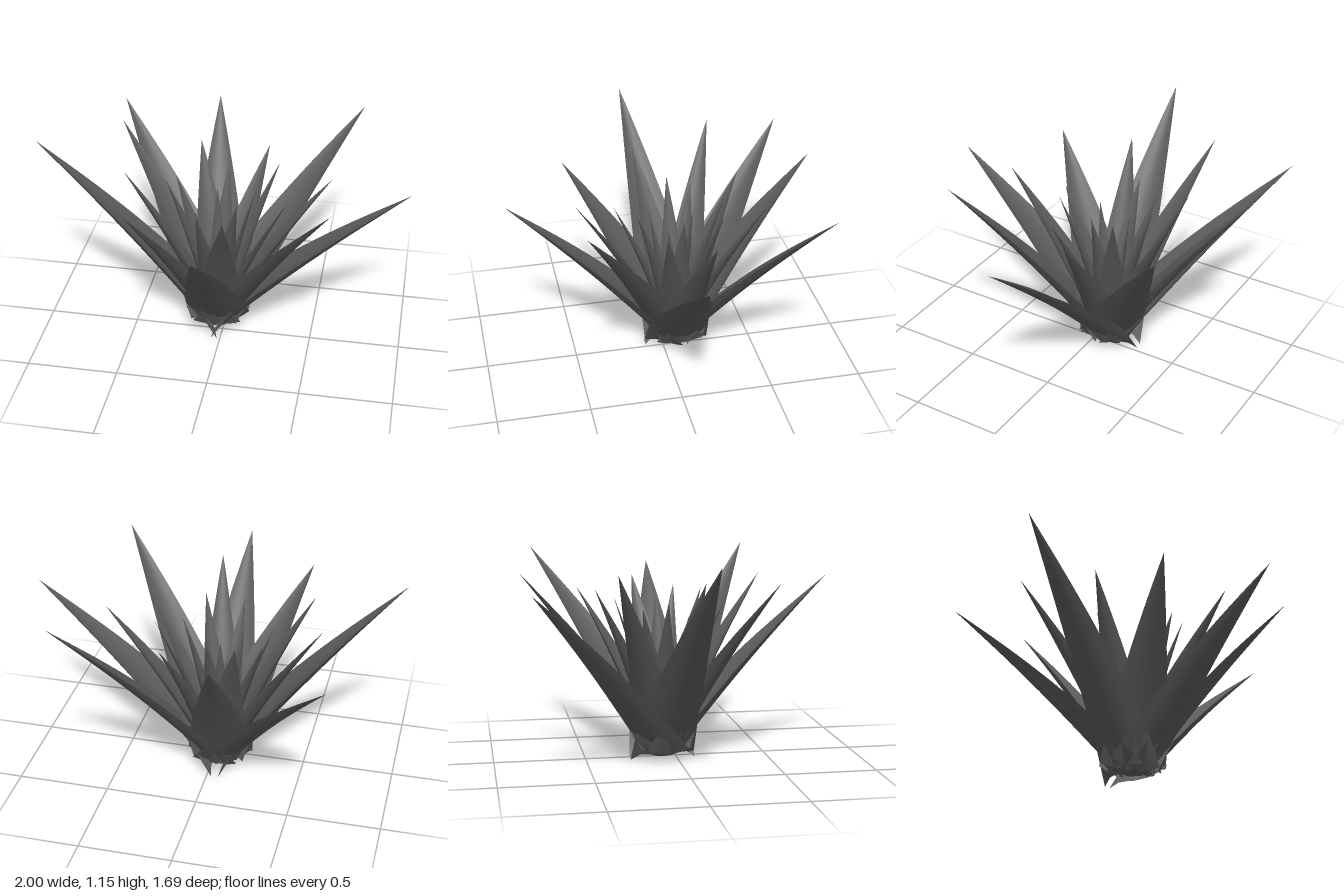
import * as THREE from 'three';

const CENTRE = new THREE.Vector3(-0.04, 0.08, -0.08);

// Long pointed leaf: a crescent cross-section tapering from base to tip.
// arch lifts the middle, droop pulls the base corners down.
function leafGeometry(base, tip, halfWidth, { arch = 0, droop = 0, rows = 14, cols = 8 } = {}) {
  const dir = tip.clone().sub(base);
  const side = new THREE.Vector3(dir.z, 0, -dir.x).normalize();
  const under = side.clone().cross(dir).normalize();
  const pos = [], index = [];
  for (const [depth, flip] of [[0.45, false], [0.28, true]]) {
    const start = pos.length / 3;
    for (let i = 0; i <= rows; i++) {
      const t = i / rows;
      const w = halfWidth * (1 - Math.pow(t, 1.3)) + 0.0005;
      for (let j = 0; j <= cols; j++) {
        const u = (j / cols) * 2 - 1;
        const p = base.clone().addScaledVector(dir, t)
          .addScaledVector(side, w * u)
          .addScaledVector(under, w * depth * (1 - u * u) - arch * Math.sin(Math.PI * t));
        p.y -= droop * u ** 4 * Math.max(0, 1 - t * 8);
        pos.push(p.x, p.y, p.z);
      }
    }
    for (let i = 0; i < rows; i++) {
      for (let j = 0; j < cols; j++) {
        const a = start + i * (cols + 1) + j, b = a + 1, c = a + cols + 1, d = c + 1;
        if (flip) index.push(a, c, b, b, c, d);
        else index.push(a, b, c, b, d, c);
      }
    }
  }
  const g = new THREE.BufferGeometry();
  g.setAttribute('position', new THREE.Float32BufferAttribute(pos, 3));
  g.setIndex(index);
  g.computeVertexNormals();
  return g;
}

export function createModel() {
  const plant = new THREE.Group();
  plant.name = 'spikyRosettePlant';
  const leafMat = new THREE.MeshStandardMaterial({ color: 0x5c5c5c, side: THREE.DoubleSide });
  leafMat.name = 'darkGreyLeaf';
  const add = (name, geometry) => {
    const mesh = new THREE.Mesh(geometry, leafMat);
    mesh.name = name;
    plant.add(mesh);
  };

  // Tips of each whorl: x, y, z
  const whorls = [
    { name: 'outerLeaf', width: 0.18, arch: 0.025, tips: [
      [-1, 1.15, 0.05], [1, 0.98, -0.01], [-0.72, 1.0, -0.82], [0.69, 1.11, -0.74],
      [-0.16, 1.05, -0.85], [0.62, 1.12, 0.5], [-0.01, 0.99, 0.84], [-0.44, 1.0, 0.48]] },
    { name: 'middleLeaf', width: 0.135, arch: 0.02, tips: [
      [-0.63, 1.08, -0.39], [0.57, 0.95, -0.16], [0.18, 0.93, -0.52],
      [0.08, 1.0, 0.48], [-0.52, 1.02, 0.07], [-0.2, 0.96, -0.46]] },
    { name: 'innerLeaf', width: 0.1, arch: 0.015, tips: [
      [0.36, 0.91, 0.05], [0.27, 0.96, -0.27], [-0.1, 0.87, 0.25], [-0.33, 0.9, -0.09],
      [0.1, 0.92, 0.16], [-0.02, 0.9, -0.34], [0.17, 0.89, -0.08], [-0.3, 0.86, -0.22]] },
    { name: 'heartLeaf', width: 0.075, arch: 0, tips: [
      [-0.14, 0.8, 0.05], [0.06, 0.78, -0.02], [-0.06, 0.82, -0.18]] },
  ];
  for (const { name, width, arch, tips } of whorls) {
    tips.forEach((tip, i) => {
      // the two sideways outer leaves have base corners reaching the ground
      const droop = name === 'outerLeaf' && i < 2 ? CENTRE.y : 0;
      add(name + (i + 1), leafGeometry(CENTRE, new THREE.Vector3(...tip), width, { arch, droop }));
    });
  }

  // Short scales crowding the base
  const count = 24;
  for (let i = 0; i < count; i++) {
    const a = (i / count) * Math.PI * 2;
    const out = new THREE.Vector3(Math.cos(a), 0, Math.sin(a));
    const base = CENTRE.clone().addScaledVector(out, 0.1).setY(0.06);
    const tip = CENTRE.clone().addScaledVector(out, 0.18).setY(0.17 + 0.035 * ((i * 7) % 3));
    add('baseScale' + (i + 1), leafGeometry(base, tip, 0.05, { rows: 3, cols: 2 }));
  }

  // Rough stump closing the underside
  const stump = new THREE.IcosahedronGeometry(0.12, 1);
  stump.scale(1, 0.55, 1).translate(CENTRE.x, 0.1, CENTRE.z);
  add('stump', stump);
  return plant;
}
